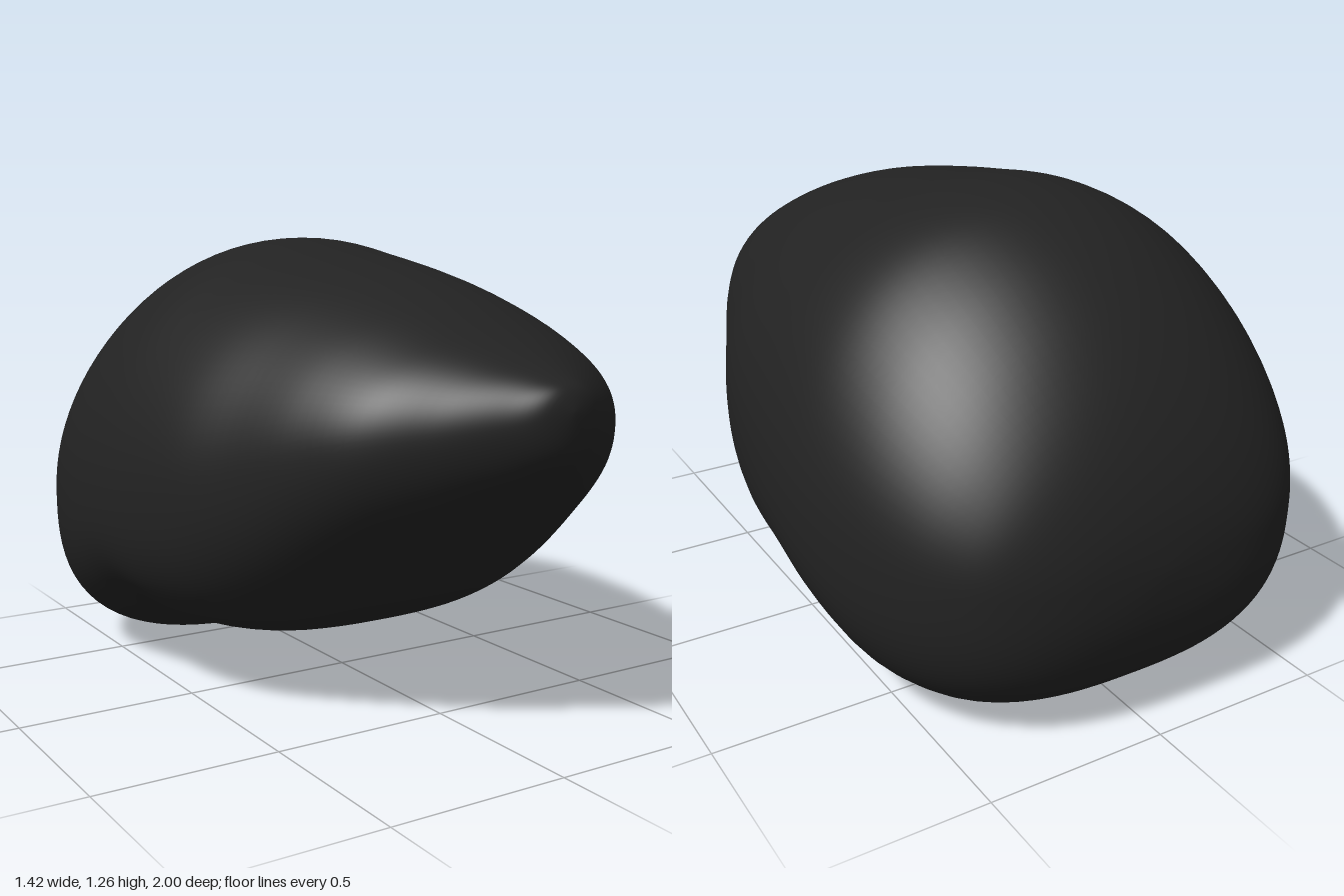
import * as THREE from 'three';
import { mergeVertices } from 'three/addons/utils/BufferGeometryUtils.js';

// Stations from the front tip to the back, evenly spaced in polar angle (z = cos angle)
const halfWidth = [0, .075, .155, .27, .405, .495, .57, .645, .687, .706, .703, .672, .615, .535, .425, .255, 0];
const topLine = [.88, .935, .965, 1.0, 1.05, 1.112, 1.165, 1.205, 1.238, 1.265, 1.247, 1.172, 1.058, .92, .77, .615, .47];
const widestLine = [.88, .865, .845, .82, .79, .745, .68, .62, .575, .54, .515, .495, .485, .48, .475, .47, .47];
const bottomLine = [.88, .78, .71, .635, .54, .42, .288, .185, .15, .155, .07, .005, .015, .075, .17, .31, .47];

// Smooth interpolation of a station list, t in 0..1
function spline(values) {
  const curve = new THREE.SplineCurve(values.map((v, i) => new THREE.Vector2(i, v)));
  return (t) => curve.getPoint(t).y;
}

export function createModel() {
  const group = new THREE.Group();
  const [width, top, widest, bottom] = [halfWidth, topLine, widestLine, bottomLine].map(spline);

  // Sphere with its poles along z, reshaped section by section
  let geometry = new THREE.SphereGeometry(1, 96, 96).rotateX(Math.PI / 2);
  const pos = geometry.attributes.position;
  for (let i = 0; i < pos.count; i++) {
    const z = THREE.MathUtils.clamp(pos.getZ(i), -1, 1);
    const t = Math.acos(z) / Math.PI;
    const a = Math.atan2(pos.getY(i), pos.getX(i));
    const c = Math.cos(a), s = Math.sin(a);
    // Round upper half, flatter underside towards the back
    const n = s > 0 ? 2 : 2 + 0.75 * THREE.MathUtils.smoothstep(t, 0.05, 0.5);
    const r = Math.pow(Math.abs(c) ** n + Math.abs(s) ** n, -1 / n);
    const mid = widest(t);
    const height = s > 0 ? top(t) - mid : mid - bottom(t);
    pos.setXYZ(i, r * c * width(t), mid + r * s * height, z);
  }

  // Weld the seam and poles for continuous smooth normals
  geometry.deleteAttribute('uv');
  geometry.deleteAttribute('normal');
  geometry = mergeVertices(geometry, 1e-5);
  geometry.computeVertexNormals();

  const body = new THREE.Mesh(geometry, new THREE.MeshStandardMaterial({ color: 0x222222 }));
  body.name = 'body';
  group.add(body);
  return group;
}
